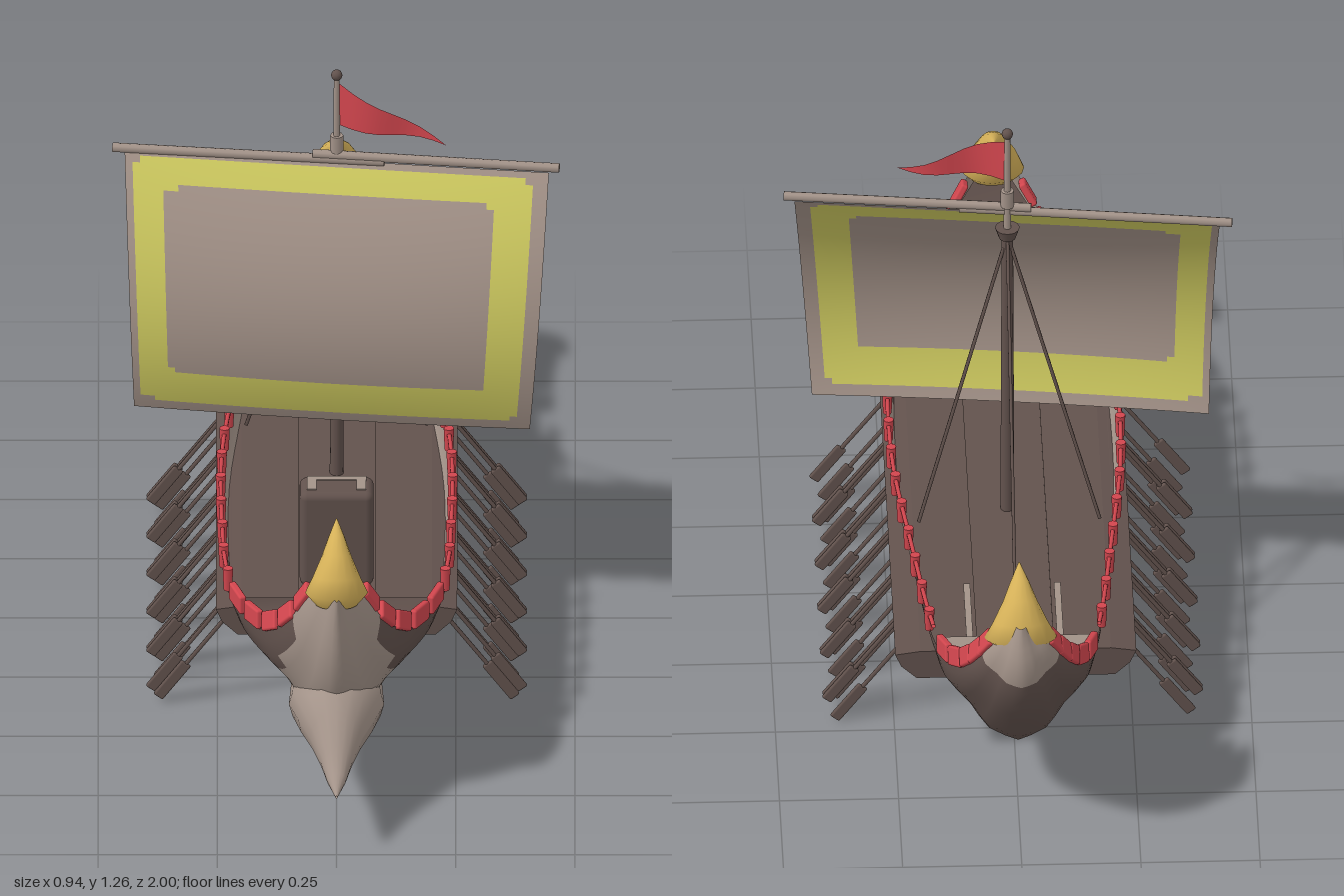
import * as THREE from 'three';
import { RoundedBoxGeometry } from 'three/addons/geometries/RoundedBoxGeometry.js';

const V = (x, y, z) => new THREE.Vector3(x, y, z);
const paint = (name, color) => new THREE.MeshStandardMaterial({ name, color, side: THREE.DoubleSide });

// Surface through rows of points; pick(i, j) chooses the material slot of each cell
function surface(rows, pick = () => 0) {
  const n = rows[0].length, buckets = [];
  for (let i = 0; i < rows.length - 1; i++) for (let j = 0; j < n - 1; j++) {
    const a = i * n + j, b = a + n;
    (buckets[pick(i, j)] ??= []).push(a, b, a + 1, a + 1, b, b + 1);
  }
  const g = new THREE.BufferGeometry().setFromPoints(rows.flat());
  g.setIndex(buckets.flat());
  let start = 0;
  buckets.forEach((b, k) => { g.addGroup(start, b.length, k); start += b.length; });
  g.computeVertexNormals();
  return g;
}

// Hull stations from stern to bow: gunwale x, y, z and keel y, z
const STATIONS = [
  [.02, .58, -.94, .58, -.97], [.06, .53, -.945, .49, -.995], [.10, .46, -.91, .40, -.98],
  [.13, .40, -.84, .28, -.90], [.16, .355, -.73, .15, -.76], [.18, .34, -.62, .13, -.66],
  [.21, .335, -.36, .13, -.36], [.24, .335, -.05, .13, -.05], [.24, .335, .27, .13, .27],
  [.228, .34, .47, .13, .47], [.19, .345, .60, .135, .60], [.145, .37, .70, .16, .72],
  [.10, .425, .755, .25, .80], [.07, .48, .775, .36, .84], [.02, .56, .79, .52, .85],
];
const LAST = STATIONS.length - 1;
const gunwale = new THREE.CatmullRomCurve3(STATIONS.map(s => V(s[0], s[1], s[2])));
const keel = new THREE.CatmullRomCurve3(STATIONS.map(s => V(0, s[3], s[4])));

export function createModel() {
  const model = new THREE.Group();
  model.name = 'galley';
  const dark = paint('dark wood', 0x62524d), light = paint('pale wood', 0xa39389);
  const red = paint('red paint', 0xd2464e), gold = paint('gold', 0xd4b058);
  const cloth = paint('sail cloth', 0xa39288), yellow = paint('yellow border', 0xcdc95f);

  const add = (name, geo, mat, x = 0, y = 0, z = 0) => {
    const m = new THREE.Mesh(geo, mat);
    m.name = name;
    m.position.set(x, y, z);
    model.add(m);
    return m;
  };
  const rod = (name, a, b, r, mat, r2 = r, sides = 8) => {
    const m = add(name, new THREE.CylinderGeometry(r2, r, a.distanceTo(b), sides), mat);
    m.position.copy(a).lerp(b, .5);
    m.quaternion.setFromUnitVectors(V(0, 1, 0), b.clone().sub(a).normalize());
    return m;
  };

  // Hull shell: full at the gunwale, narrowing to the keel
  const profile = new THREE.SplineCurve([[1, 0], [.92, .3], [.63, .57], [.38, .86], [0, 1]]
    .map(p => new THREE.Vector2(...p))).getPoints(8);
  const ringProfile = [...profile, ...profile.slice(0, -1).reverse().map(p => new THREE.Vector2(-p.x, p.y))];
  const SUB = 4, rings = [];
  for (let i = 0; i <= LAST * SUB; i++) {
    const g = gunwale.getPoint(i / (LAST * SUB)), k = keel.getPoint(i / (LAST * SUB));
    rings.push(ringProfile.map(p => V(g.x * p.x, g.y + (k.y - g.y) * p.y, g.z + (k.z - g.z) * p.y)));
  }
  add('hull', surface(rings, (i, j) => {
    const s = i / SUB, row = Math.min(j, 15 - j);
    const side = s >= 6 && s < 8 && row < 2;
    const bow = s >= 12.25 || (s >= 11.25 && row >= 2) || (s >= 9.5 && row >= 3);
    return side || bow || s < 1.5 ? 1 : 0;
  }), [dark, light]);

  // Ram: z, centre y, half width, half height
  const ram = [[.42, .17, .05, .035], [.6, .185, .095, .055], [.72, .2, .1, .075], [.8, .208, .08, .08],
    [.85, .192, .055, .066], [.9, .165, .034, .038], [.95, .147, .02, .018], [1, .135, .002, .003]];
  add('ram', surface(ram.map(([z, y, rx, ry]) => Array.from({ length: 17 }, (_, k) => {
    const a = k / 16 * Math.PI * 2;
    return V(Math.cos(a) * rx, y + Math.sin(a) * ry, z);
  }))), light);

  // Decks
  const deck = (name, pts, mat = dark) =>
    add(name, surface(pts.map(([x, y, z]) => [V(-x, y, z), V(x, y, z)])), mat);
  deck('mainDeck', [[.145, .285, -.72], ...STATIONS.slice(5, 10).map(s => [s[0] * .92, .285, s[2]]), [.2, .285, .52]]);
  deck('sternDeck', [[.148, .35, -.715], [.118, .39, -.83], [.088, .445, -.91], [.04, .53, -.95]]);
  deck('sternStep', [[.155, .285, -.66], [.168, .342, -.66]]);
  deck('sternPlank', [[.168, .342, -.655], [.15, .352, -.72]], light);
  deck('foreDeck', [[.205, .285, .49], [.208, .332, .5], [.175, .34, .6], [.13, .365, .7], [.085, .425, .76], [.02, .52, .8]]);

  // Worn pale planks on the main deck
  for (const side of [1, -1]) {
    add('wornPlank', new THREE.BoxGeometry(.014, .004, .2), light, side * .095, .288, -.49);
    add('wornPlank', new THREE.BoxGeometry(.07, .004, .022), light, side * .1, .288, .46);
  }

  // Cabinet on the fore part of the deck, with pale trim along its lid
  add('cabinet', new RoundedBoxGeometry(.155, .225, .085, 3, .016), dark, 0, .395, .33);
  add('cabinetTrim', new THREE.BoxGeometry(.125, .004, .016), light, 0, .508, .306);
  for (const x of [-.052, .052]) add('cabinetTrim', new THREE.BoxGeometry(.02, .004, .04), light, x, .508, .334);

  // Mast with cap, pole, collar and knob
  const MZ = -.11;
  rod('mast', V(0, .2, MZ), V(0, 1, MZ), .015, dark, .012, 12);
  rod('mastCap', V(0, .98, MZ), V(0, 1.005, MZ), .018, dark, .026, 12);
  rod('topPole', V(0, 1, MZ), V(0, 1.24, MZ), .008, light, .006);
  rod('poleCollar', V(0, 1.06, MZ), V(0, 1.1, MZ), .014, light);
  add('poleKnob', new THREE.SphereGeometry(.012, 12, 8), dark, 0, 1.245, MZ);

  // Yard in two overlapping spars
  const slant = x => -.105 + .118 * x;
  rod('yard', V(-.47, 1.042, slant(-.47)), V(.1, 1.046, slant(.1)), .01, light);
  rod('yard', V(-.05, 1.055, slant(-.05)), V(.467, 1.055, slant(.467)), .01, light);

  // Billowing sail with a yellow border band, its corners rounded
  const us = Array.from({ length: 57 }, (_, i) => i / 56), vs = Array.from({ length: 49 }, (_, i) => i / 48);
  const sail = vs.map(v => us.map(u => {
    const x = THREE.MathUtils.lerp(-.445 + .02 * v, .445 - .04 * v, u);
    const belly = .395 * v - .295 * v * v + .08 * u * (1 - u) * Math.sin(Math.PI * v * .85);
    return V(x, 1.042 - .565 * v, slant(x) + belly);
  }));
  const inRounded = (u, v, u0, u1, v0, v1, r) => {
    const du = Math.max(u0 + r - u, u - u1 + r, 0), dv = Math.max(v0 + r - v, v - v1 + r, 0);
    return Math.hypot(du, dv) < r;
  };
  add('sail', surface(sail, (i, j) => {
    const u = (j + .5) / 56, v = (i + .5) / 48;
    return inRounded(u, v, .018, .965, .02, .95, .04) && !inRounded(u, v, .09, .88, .11, .82, .05) ? 1 : 0;
  }), [cloth, yellow]);

  // Pennant
  const flag = Array.from({ length: 9 }, (_, i) => {
    const s = i / 8, x = .005 + .225 * s, z = MZ + .07 * s + .015 * Math.sin(s * Math.PI * 2);
    return [V(x, 1.225 - .11 * s, z), V(x, 1.125 - .01 * s, z)];
  });
  add('pennant', surface(flag), red);

  // Rigging
  [[.19, -.225], [-.19, -.225], [0, -.64]].forEach(([x, z]) =>
    rod('stay', V(0, .985, MZ), V(x, .335, z), .004, dark, .004, 6));

  // Curved gold finials: centre z, y, half width, half depth
  const horn = [[.80, .49, .045, .03], [.80, .515, .066, .047], [.795, .55, .05, .046], [.775, .59, .031, .034],
    [.748, .62, .017, .02], [.71, .643, .001, .001]];
  const finial = surface(horn.map(([z, y, rx, rz], i) => Array.from({ length: 17 }, (_, k) => {
    const a = k / 16 * Math.PI * 2, tilt = i * .17;
    return V(Math.cos(a) * rx, y + Math.sin(a) * rz * Math.sin(tilt), z + Math.sin(a) * rz * Math.cos(tilt));
  })));
  add('bowFinial', finial, gold);
  const sternFinial = add('sternFinial', finial, gold, 0, .015, -.125);
  sternFinial.rotation.y = Math.PI;
  sternFinial.scale.x = 1.15;

  // Curve parameter at which the gunwale reaches a given z
  const atZ = z => {
    let lo = 1 / LAST, hi = 1;
    for (let k = 0; k < 30; k++) {
      const mid = (lo + hi) / 2;
      if (gunwale.getPoint(mid).z < z) lo = mid; else hi = mid;
    }
    return lo;
  };
  const ledge = new THREE.Shape([[.08, .22], [.208, .22], [.24, .25], [.253, .28], [.2, .288], [.08, .288]]
    .map(p => new THREE.Vector2(...p)));
  const outrigger = new THREE.ExtrudeGeometry(ledge, { depth: 1.09, bevelEnabled: false });

  for (const side of [1, -1]) {
    const mir = p => V(p.x * side, p.y, p.z);

    // Outrigger ledge
    add('outrigger', outrigger, dark, 0, 0, -.63).scale.x = side;

    // Rail and its posts
    const railPts = [];
    for (let z = -.66; z < .5; z += .08) railPts.push(V(gunwale.getPoint(atZ(z)).x * side, .373, z));
    add('rail', new THREE.TubeGeometry(new THREE.CatmullRomCurve3(railPts), 40, .005, 6), red);
    for (let i = 0; i < 12; i++) {
      const z = .47 - .0985 * i, p = gunwale.getPoint(atZ(z));
      add('railPost', new THREE.CylinderGeometry(.011, .009, .052, 8), red, p.x * side, .36, z);
    }

    // Red panels following the rising gunwale at bow and stern
    [.55, .64, .71, .75, .774, -.755, -.835, -.889, -.92, -.938].forEach((z, i) => {
      const t = atZ(z), p = mir(gunwale.getPoint(t)), d = mir(gunwale.getTangent(t));
      const out = V(side, 0, 0).addScaledVector(d, -d.x * side).normalize();
      const up = V().crossVectors(d, out);
      if (up.y < 0) up.negate();
      const m = add('gunwalePanel', new RoundedBoxGeometry(.016, .042, i % 5 < 2 ? .075 : .056, 2, .005), red);
      m.quaternion.setFromRotationMatrix(new THREE.Matrix4().makeBasis(V().crossVectors(up, d), up, d));
      m.position.copy(p).addScaledVector(up, .018);
    });

    // Two banks of oars with flat blades
    const oar = (from, to) => {
      const loom = rod('oar', mir(from), mir(to), .0045, dark, .0045, 6);
      const blade = add('oarBlade', new RoundedBoxGeometry(.024, .1, .01, 2, .004), dark);
      blade.quaternion.copy(loom.quaternion);
      blade.position.copy(mir(to)).lerp(mir(from), .14);
    };
    for (let i = 0; i < 11; i++) {
      const z = .34 - .08 * i;
      oar(V(.19, .25, z), V(.37, .008, z));
      const z2 = z + (i % 2 ? -.045 : .022);
      oar(V(.215, .27, z2), V(.385, .042, z2));
    }
  }
  return model;
}
